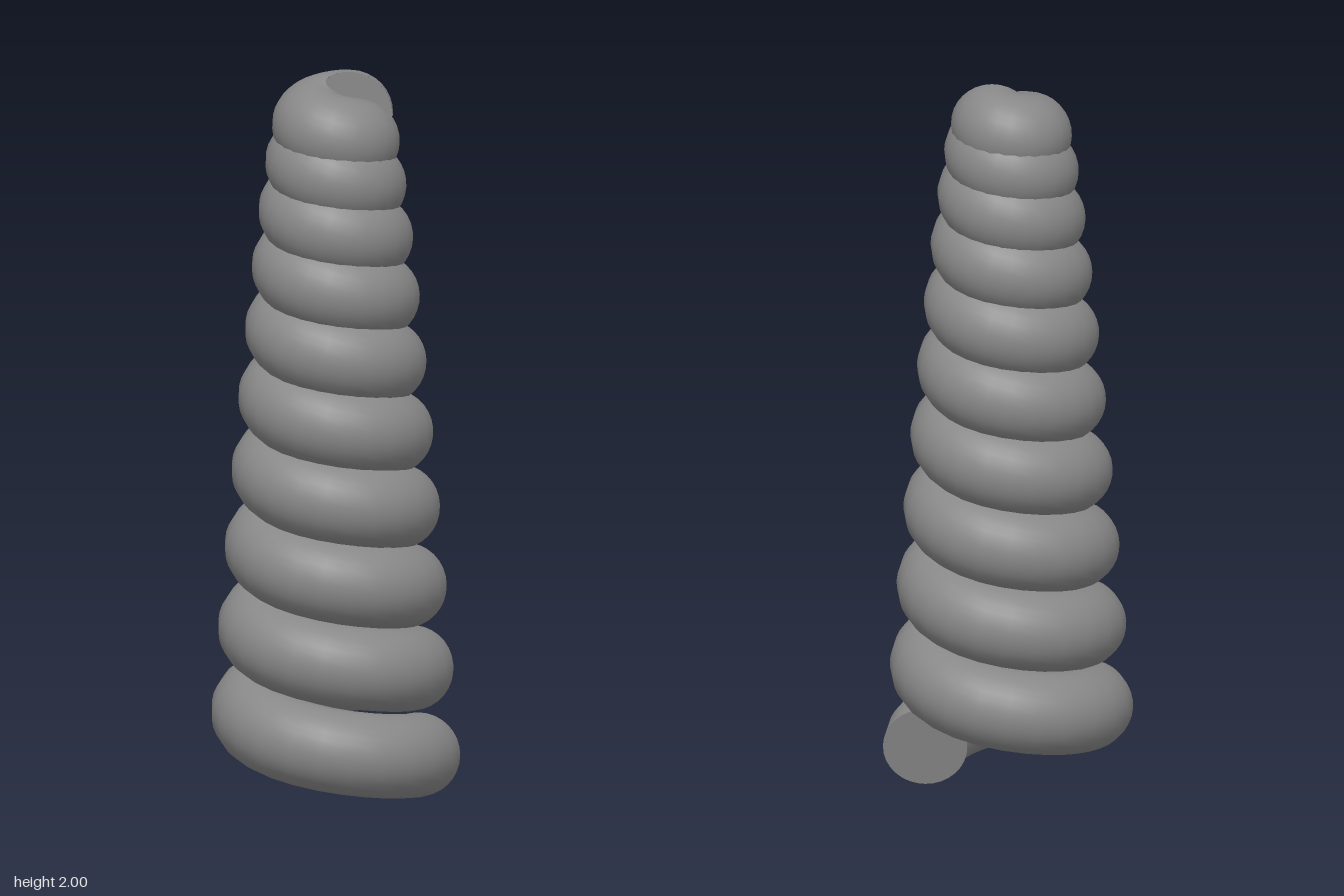
import * as THREE from 'three';

const TURNS = 10, STEPS = 240, SIDES = 32, TUBE_RADIUS = 0.114;
const material = new THREE.MeshStandardMaterial({ color: 0x888888 });

// Centre line of the coil: radius shrinks evenly, the rise slows towards the tip
class CoilCurve extends THREE.Curve {
  getPoint(u, target = new THREE.Vector3()) {
    const a = u * TURNS * Math.PI * 2, R = THREE.MathUtils.lerp(0.2285, 0.045, u);
    const y = 0.1125 + 1.774 * (1 - Math.pow(1 - u, 1.37));
    return target.set(R * Math.cos(a) - 0.0045, y, R * Math.sin(a) - 0.005);
  }

  // Equal steps of angle, so every turn has the same number of segments
  getPointAt(u, target) {
    return this.getPoint(u, target);
  }

  getTangentAt(u, target) {
    return this.getTangent(u, target);
  }
}

// Flat disc closing one end of the tube, facing away from it
function endCap(curve, u, name) {
  const cap = new THREE.Mesh(new THREE.CircleGeometry(TUBE_RADIUS, SIDES), material);
  const outward = curve.getTangent(u).multiplyScalar(u === 0 ? -1 : 1);
  cap.position.copy(curve.getPoint(u));
  cap.lookAt(cap.position.clone().add(outward));
  cap.name = name;
  return cap;
}

export function createModel() {
  const model = new THREE.Group();
  model.name = 'spiralShell';
  const curve = new CoilCurve();
  const coil = new THREE.Mesh(new THREE.TubeGeometry(curve, STEPS, TUBE_RADIUS, SIDES), material);
  coil.name = 'coil';
  model.add(coil, endCap(curve, 0, 'bottomCap'), endCap(curve, 1, 'tipCap'));
  return model;
}
